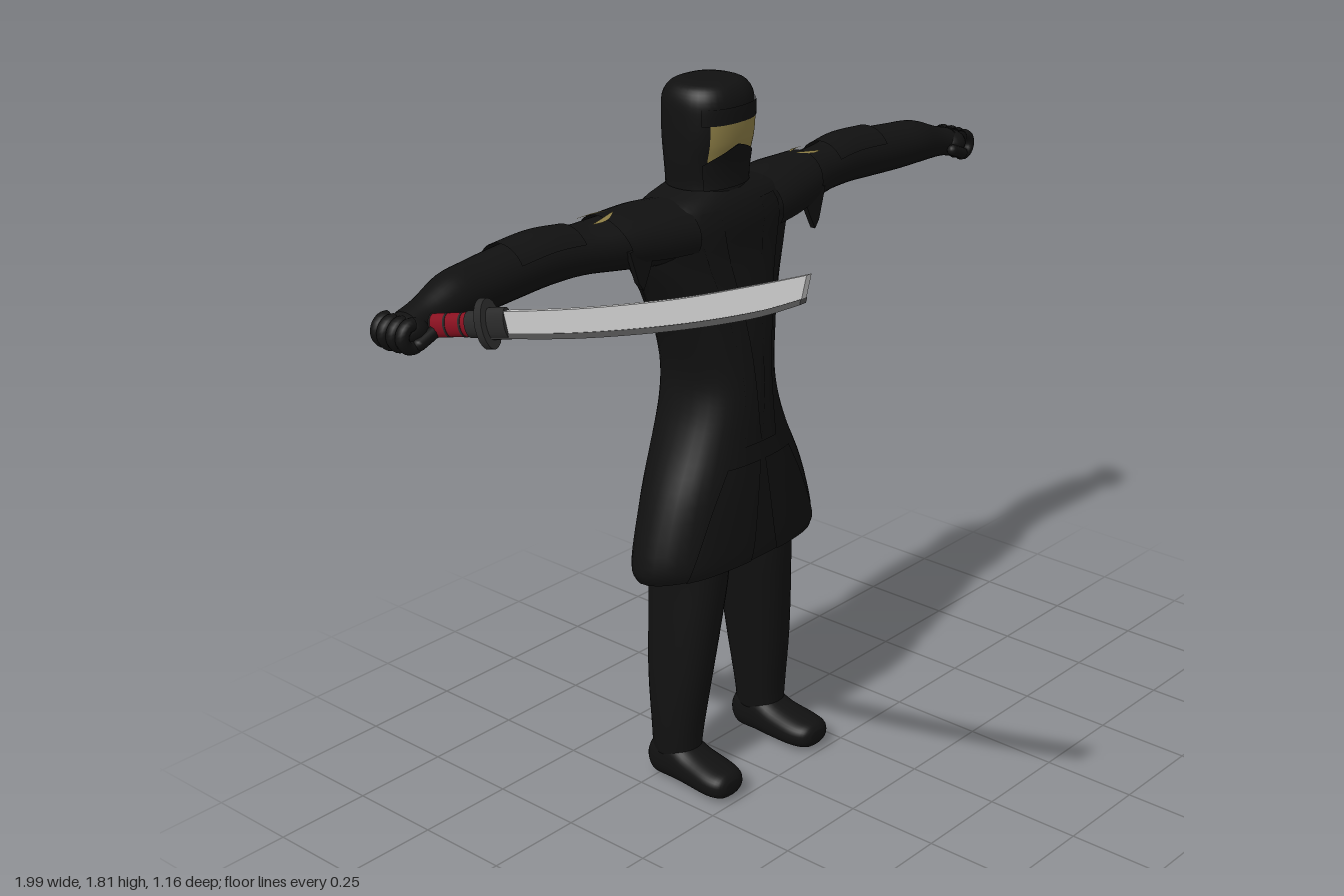
import * as THREE from 'three';

const mat = (color) => new THREE.MeshStandardMaterial({ color, side: THREE.DoubleSide, roughness: 0.9 });
const cloth = mat(0x111111), skin = mat(0x8c7d45), red = mat(0x8a1020);
const iron = mat(0x2a2a2a), steel = mat(0xcccccc), spine = mat(0x555555);

const add = (parent, name, geo, material = cloth) => {
  const mesh = new THREE.Mesh(geo, material);
  mesh.name = name;
  parent.add(mesh);
  return mesh;
};

// Smooth interpolation through the cross-section rows
function rowAt(rows, t) {
  const last = rows.length - 1, i = Math.min(Math.floor(t), last - 1), f = t - i;
  const [a, b, c, d] = [i - 1, i, i + 1, i + 2].map((k) => rows[Math.min(Math.max(k, 0), last)]);
  return b.map((_, k) => b[k] + 0.5 * f * (c[k] - a[k]
    + f * (2 * a[k] - 5 * b[k] + 4 * c[k] - d[k] + f * (3 * (b[k] - c[k]) + d[k] - a[k]))));
}

// Rows are [position along axis, centre u, centre v, radius u, radius v]
function surface(axis, rows, power = 2, warp = (p) => p) {
  const round = (c) => Math.sign(c) * Math.abs(c) ** (2 / power);
  const at = (t, a, scale = 1) => {
    const [s, cu, cv, ru, rv] = rowAt(rows, t);
    const u = cu + scale * ru * round(Math.cos(a)), v = cv + scale * rv * round(Math.sin(a));
    const p = axis === 'y' ? [u, s, v] : axis === 'x' ? [s, v, u] : [v, u, s];
    return warp(new THREE.Vector3(...p));
  };
  return { at, last: rows.length - 1 };
}

function grid(m, n, fn, wrap) {
  const pos = [], index = [], cols = wrap ? n : n + 1;
  for (let i = 0; i <= m; i++) for (let j = 0; j < cols; j++) pos.push(...fn(i / m, j / n).toArray());
  for (let i = 0; i < m; i++) for (let j = 0; j < n; j++) {
    const k = (j + 1) % cols, A = i * cols + j, B = A + cols, C = (i + 1) * cols + k, D = i * cols + k;
    index.push(A, B, C, A, C, D);
  }
  const geo = new THREE.BufferGeometry();
  geo.setAttribute('position', new THREE.Float32BufferAttribute(pos, 3));
  geo.setIndex(index);
  geo.computeVertexNormals();
  return geo;
}

// Whole body of a surface, optionally closed at both ends
function loft(surf, closed = true) {
  const m = surf.last * 4 + (closed ? 2 : 0);
  return grid(m, 36, (f, g) => {
    const i = Math.round(f * m) - (closed ? 1 : 0), k = i / 4;
    const t = Math.min(Math.max(k, 0), surf.last);
    return surf.at(t, g * Math.PI * 2, k === t ? 1 : 0);
  }, true);
}

// Raised piece lying on a surface; fn(f, g) gives [t, angle]
const patch = (surf, offset, fn) => grid(14, 20, (f, g) => surf.at(...fn(f, g), offset), false);
const lerp = THREE.MathUtils.lerp, HALF = Math.PI / 2;

function makeHead() {
  const head = new THREE.Group();
  head.name = 'head';
  const s = surface('y', [
    [1.5, 0, -0.445, 0.1, 0.095], [1.56, 0, -0.45, 0.095, 0.088], [1.62, 0, -0.447, 0.103, 0.088],
    [1.67, 0, -0.442, 0.106, 0.097], [1.72, 0, -0.439, 0.107, 0.1], [1.77, 0, -0.438, 0.104, 0.098],
    [1.8, 0, -0.438, 0.085, 0.08], [1.81, 0, -0.438, 0.05, 0.05]], 2.4);
  add(head, 'hood', loft(s));
  const chin = (g) => 2.05 + 0.85 * (1 - Math.abs(2 * g - 1));
  const angle = (g, w) => HALF + (2 * g - 1) * w;
  add(head, 'face', patch(s, 1.012, (f, g) => [lerp(chin(g), 4, f), angle(g, 0.72)]), skin);
  add(head, 'faceMask', patch(s, 1.05, (f, g) => [lerp(1, chin(g), f), angle(g, 0.85)]));
  add(head, 'hoodBrow', patch(s, 1.03, (f, g) => [lerp(3.95, 4.7, f), angle(g, 0.95)]));
  return head;
}

function makeCoat() {
  const coat = new THREE.Group();
  coat.name = 'coat';
  // Hem rises at the front and the skirt falls in soft folds
  const hang = (p) => {
    const k = THREE.MathUtils.clamp((0.95 - p.y) / 0.35, 0, 1);
    const fold = 1 + 0.015 * k * Math.cos(10 * Math.atan2(p.z + 0.425, p.x));
    return p.set(p.x * fold, p.y + k * (p.z + 0.425) * 0.18, p.z);
  };
  const s = surface('y', [
    [0.6, 0, -0.425, 0.27, 0.135], [0.65, 0, -0.425, 0.284, 0.138], [0.8, 0, -0.425, 0.237, 0.138],
    [0.93, 0, -0.428, 0.175, 0.138], [1.02, 0, -0.428, 0.138, 0.138], [1.1, 0, -0.43, 0.125, 0.137],
    [1.2, 0, -0.434, 0.145, 0.133], [1.3, 0, -0.442, 0.18, 0.127], [1.4, 0, -0.45, 0.225, 0.122],
    [1.48, 0, -0.445, 0.24, 0.115], [1.53, 0, -0.445, 0.2, 0.1], [1.56, 0, -0.448, 0.1, 0.08]], 2.4, hang);
  add(coat, 'coatBody', loft(s, false));
  add(coat, 'backYoke', patch(s, 1.035, (f, g) => [lerp(6.6, 9.2, f), lerp(1.15, 1.85, g) * Math.PI]));
  for (const side of [-1, 1]) {
    add(coat, 'frontSkirtPanel', patch(s, 1.03, (f, g) => [lerp(0, 2.6, f),
      HALF + side * lerp(lerp(0.12, 0.02, f), lerp(0.95, 0.5, f), side > 0 ? g : 1 - g)]));
    add(coat, 'lapel', patch(s, 1.02, (f, g) => [lerp(3, 9.8, f),
      HALF + side * lerp(lerp(0.0, 0.25, f), lerp(0.25, 0.55, f), side > 0 ? g : 1 - g)]));
  }
  return coat;
}

function makeArm() {
  const arm = new THREE.Group();
  arm.name = 'arm';
  const s = surface('x', [
    [0.12, -0.44, 1.47, 0.1, 0.07], [0.22, -0.45, 1.475, 0.095, 0.072], [0.32, -0.455, 1.482, 0.08, 0.065],
    [0.42, -0.465, 1.487, 0.065, 0.058], [0.52, -0.475, 1.49, 0.066, 0.062], [0.62, -0.475, 1.485, 0.067, 0.062],
    [0.72, -0.468, 1.48, 0.064, 0.06], [0.8, -0.46, 1.477, 0.058, 0.056], [0.88, -0.452, 1.462, 0.043, 0.041],
    [0.93, -0.447, 1.452, 0.042, 0.037]]);
  add(arm, 'sleeve', loft(s));
  add(arm, 'armPlate', patch(s, 1.12, (f, g) => [lerp(3.2, 5.1, f), lerp(0.15, 0.85, g) * Math.PI]));
  // Short shoulder cap with a pointed lower flap at front
  add(arm, 'shoulderCap', patch(s, 1.1, (f, g) => [lerp(0.3, 2 + 0.3 * Math.sin(g * Math.PI), f),
    lerp(-0.15, 1.1, g) * Math.PI]));
  const flap = new THREE.Shape([[0.25, 1.49], [0.34, 1.48], [0.315, 1.4], [0.3, 1.38], [0.28, 1.42]]
    .map((p) => new THREE.Vector2(...p)));
  add(arm, 'shoulderFlap', new THREE.ExtrudeGeometry(flap, { depth: 0.015, bevelEnabled: false })).position.z = -0.385;
  // Chevron mark on the upper arm
  for (const side of [-1, 1]) {
    add(arm, 'armMark', patch(s, 1.13, (f, g) => [lerp(1.9, 2.75, f),
      HALF + side * (lerp(0.05, 0.4, f) + 0.16 * Math.sin(f * Math.PI) * (side > 0 ? g : 1 - g))]), skin);
  }
  // Closed fist
  const palm = add(arm, 'fist', new THREE.SphereGeometry(1, 24, 16));
  palm.scale.set(0.045, 0.035, 0.05);
  palm.position.set(0.93, 1.45, -0.445);
  for (let i = 0; i < 4; i++) {
    const finger = add(arm, 'finger', new THREE.TorusGeometry(0.026, 0.015, 10, 16, 4));
    finger.position.set(0.956 - 0.004 * Math.abs(i - 1), 1.446, -0.482 + i * 0.025);
    finger.rotation.z = -2.3;
  }
  const thumb = add(arm, 'thumb', new THREE.CapsuleGeometry(0.015, 0.045, 4, 10));
  thumb.position.set(0.915, 1.435, -0.4);
  thumb.rotation.z = 1.2;
  return arm;
}

function makeLeg() {
  const leg = new THREE.Group();
  leg.name = 'leg';
  add(leg, 'trouserLeg', loft(surface('y', [
    [0.08, 0.16, -0.455, 0.052, 0.066], [0.15, 0.157, -0.452, 0.06, 0.069], [0.3, 0.147, -0.447, 0.068, 0.088],
    [0.45, 0.132, -0.44, 0.073, 0.102], [0.6, 0.117, -0.435, 0.077, 0.114], [0.75, 0.115, -0.43, 0.08, 0.114]], 2.2)));
  add(leg, 'shoe', loft(surface('z', [
    [-0.525, 0.055, 0.16, 0.035, 0.035], [-0.5, 0.062, 0.16, 0.059, 0.05], [-0.44, 0.066, 0.16, 0.062, 0.055],
    [-0.38, 0.054, 0.16, 0.048, 0.058], [-0.31, 0.047, 0.163, 0.039, 0.06], [-0.27, 0.045, 0.165, 0.032, 0.048],
    [-0.255, 0.045, 0.165, 0.015, 0.025]], 2.4)));
  return leg;
}

function makeSword() {
  const sword = new THREE.Group();
  sword.name = 'sword';
  const xAt = (z) => -0.86 + 0.0625 * z, yAt = (z) => 1.49 + 0.24 * (z + 0.25);
  const curve = (pts) => new THREE.SplineCurve(pts.map((p) => new THREE.Vector2(...p))).getPoints(24);
  const top = curve([[-0.24, 1.52], [0, 1.577], [0.25, 1.648], [0.45, 1.717], [0.58, 1.765]]);
  const bottom = curve([[-0.24, 1.462], [0, 1.515], [0.25, 1.585], [0.45, 1.653], [0.565, 1.705]]);
  const strip = (upper, lower, depth) => {
    const shape = new THREE.Shape([...lower, ...upper.slice().reverse()]);
    const geo = new THREE.ExtrudeGeometry(shape, { depth, bevelEnabled: false });
    geo.translate(0, 0, -depth / 2).rotateY(-HALF);
    const p = geo.attributes.position;
    for (let i = 0; i < p.count; i++) p.setX(i, p.getX(i) + xAt(p.getZ(i)));
    geo.computeVertexNormals();
    return geo;
  };
  const edge = bottom.map((p, i) => p.clone().lerp(top[i], 0.2));
  add(sword, 'blade', strip(top, edge, 0.014), steel);
  add(sword, 'bladeSpine', strip(edge, bottom, 0.018), spine);
  // Fittings along the handle line
  const rod = (name, z0, z1, rx, ry, material, sides = 20) => {
    const a = new THREE.Vector3(xAt(z0), yAt(z0), z0), b = new THREE.Vector3(xAt(z1), yAt(z1), z1);
    const mesh = add(sword, name, new THREE.CylinderGeometry(1, 1, a.distanceTo(b), sides), material);
    mesh.scale.set(rx, 1, ry);
    mesh.position.copy(a).lerp(b, 0.5);
    mesh.quaternion.setFromUnitVectors(new THREE.Vector3(0, 1, 0), b.sub(a).normalize());
  };
  rod('bladeCollar', -0.26, -0.19, 0.014, 0.034, iron);
  rod('guard', -0.26, -0.24, 0.028, 0.054, iron);
  rod('handleCollar', -0.3, -0.26, 0.019, 0.029, iron);
  rod('handle', -0.53, -0.3, 0.017, 0.026, red);
  for (let z = -0.5; z < -0.31; z += 0.045) rod('handleWrap', z, z + 0.006, 0.018, 0.027, iron);
  rod('pommel', -0.56, -0.53, 0.018, 0.027, iron);
  return sword;
}

export function createModel() {
  const model = new THREE.Group();
  model.name = 'swordFighter';
  model.add(makeHead(), makeCoat(), makeSword());
  for (const [side, sign] of [['left', 1], ['right', -1]]) {
    for (const [name, part] of [['Arm', makeArm()], ['Leg', makeLeg()]]) {
      part.name = side + name;
      part.scale.x = sign;
      model.add(part);
    }
  }
  return model;
}
